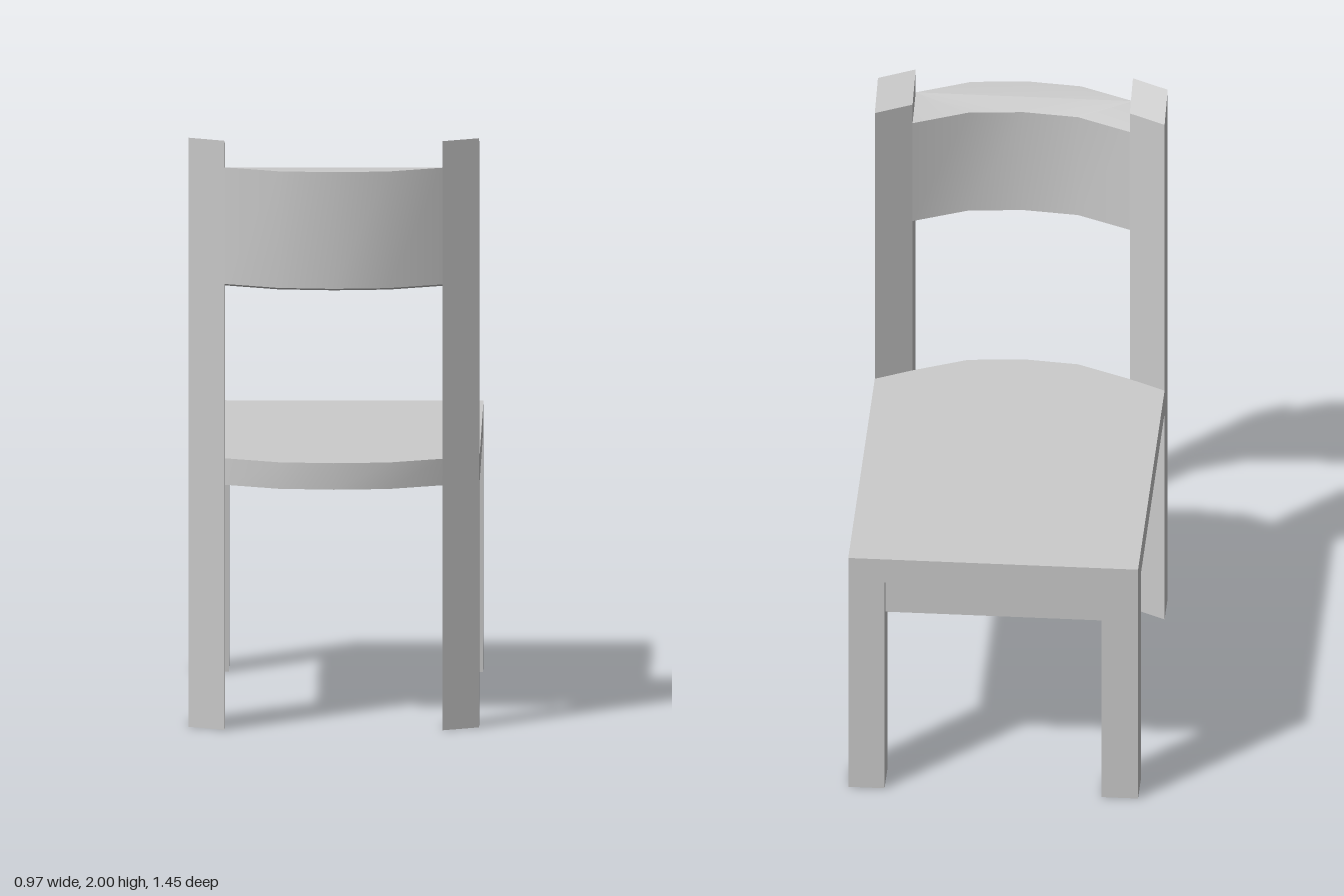
import * as THREE from 'three';
import { toCreasedNormals } from 'three/addons/utils/BufferGeometryUtils.js';

const grey = new THREE.MeshStandardMaterial({ color: 0xcccccc });
const greyOpen = new THREE.MeshStandardMaterial({ color: 0xcccccc, side: THREE.DoubleSide });

// Upright prism over corners [x, z, bottomY, topY]; each corner has its own heights.
function prism(name, corners, openBottom = false) {
  let ring = corners;
  const flat = (pts) => pts.map(([x, z]) => new THREE.Vector2(x, -z));
  if (THREE.ShapeUtils.area(flat(ring)) < 0) ring = [...ring].reverse();
  const n = ring.length;
  const positions = [];
  for (const [x, z, y0, y1] of ring) positions.push(x, y0, z, x, y1, z);
  const index = [];
  for (let i = 0; i < n; i++) {
    const j = (i + 1) % n;
    index.push(2 * i, 2 * j, 2 * j + 1, 2 * i, 2 * j + 1, 2 * i + 1);
  }
  for (const [a, b, c] of THREE.ShapeUtils.triangulateShape(flat(ring), [])) {
    index.push(2 * a + 1, 2 * b + 1, 2 * c + 1);
    if (!openBottom) index.push(2 * c, 2 * b, 2 * a);
  }
  const geometry = new THREE.BufferGeometry();
  geometry.setAttribute('position', new THREE.Float32BufferAttribute(positions, 3));
  geometry.setIndex(index);
  const mesh = new THREE.Mesh(toCreasedNormals(geometry, 0.45), openBottom ? greyOpen : grey);
  mesh.name = name;
  return mesh;
}

// Axis-aligned rail from its limits.
function rail(name, x0, x1, y0, y1, z0, z1) {
  const mesh = new THREE.Mesh(new THREE.BoxGeometry(x1 - x0, y1 - y0, z1 - z0), grey);
  mesh.name = name;
  mesh.position.set((x0 + x1) / 2, (y0 + y1) / 2, (z0 + z1) / 2);
  return mesh;
}

export function createModel() {
  const chair = new THREE.Group();
  chair.name = 'chair';

  const outer = 0.487, inner = 0.365, depth = 0.136;
  const seatTop = 0.9, seatBottom = 0.81, end = -0.725, legZ = -0.592;

  // Shared curve of the seat edge and the backrest, as [x, z]
  const half = [[0.365, 0.489], [0.185, 0.57]];
  const curve = [
    ...half.map(([x, z]) => [-x, z]),
    [0, 0.588],
    ...[...half].reverse(),
  ];

  // Seat with a bowed edge under the backrest
  const seatOutline = [[-outer, end], [-outer, 0.425], ...curve, [outer, 0.425], [outer, end]];
  chair.add(prism('seat', seatOutline.map(([x, z]) => [x, z, seatBottom, seatTop])));

  // Curved backrest, its top and bottom faces tilted down toward the seat
  const seatFace = curve.map(([x, z]) => [x, z, 1.487, 1.872]);
  const outerFace = curve.map(([x, z]) => [x, z + depth, 1.514, 1.91]).reverse();
  chair.add(prism('backrest', [...seatFace, ...outerFace]));

  for (const s of [-1, 1]) {
    const side = s > 0 ? 'left' : 'right';

    // Tall post, angled to follow the curve, with a sloping top
    chair.add(prism(`${side}BackPost`, [
      [s * outer, 0.425, 0, 1.945],
      [s * inner, 0.489, 0, 1.945],
      [s * inner, 0.489 + depth, 0, 2],
      [s * outer, 0.425 + depth, 0, 2],
    ], true));

    // Short leg under the straight end of the seat
    chair.add(prism(`${side}ShortLeg`, [
      [s * outer, end], [s * inner, end], [s * inner, legZ], [s * outer, legZ],
    ].map(([x, z]) => [x, z, 0, seatBottom]), true));

    // Recessed side rail
    const xs = [s * 0.405, s * 0.45].sort((a, b) => a - b);
    chair.add(rail(`${side}SideRail`, xs[0], xs[1], 0.62, seatBottom, legZ, 0.445));
  }

  // Recessed cross rail between the short legs
  chair.add(rail('crossRail', -inner, inner, 0.667, seatBottom, -0.68, -0.635));

  return chair;
}
